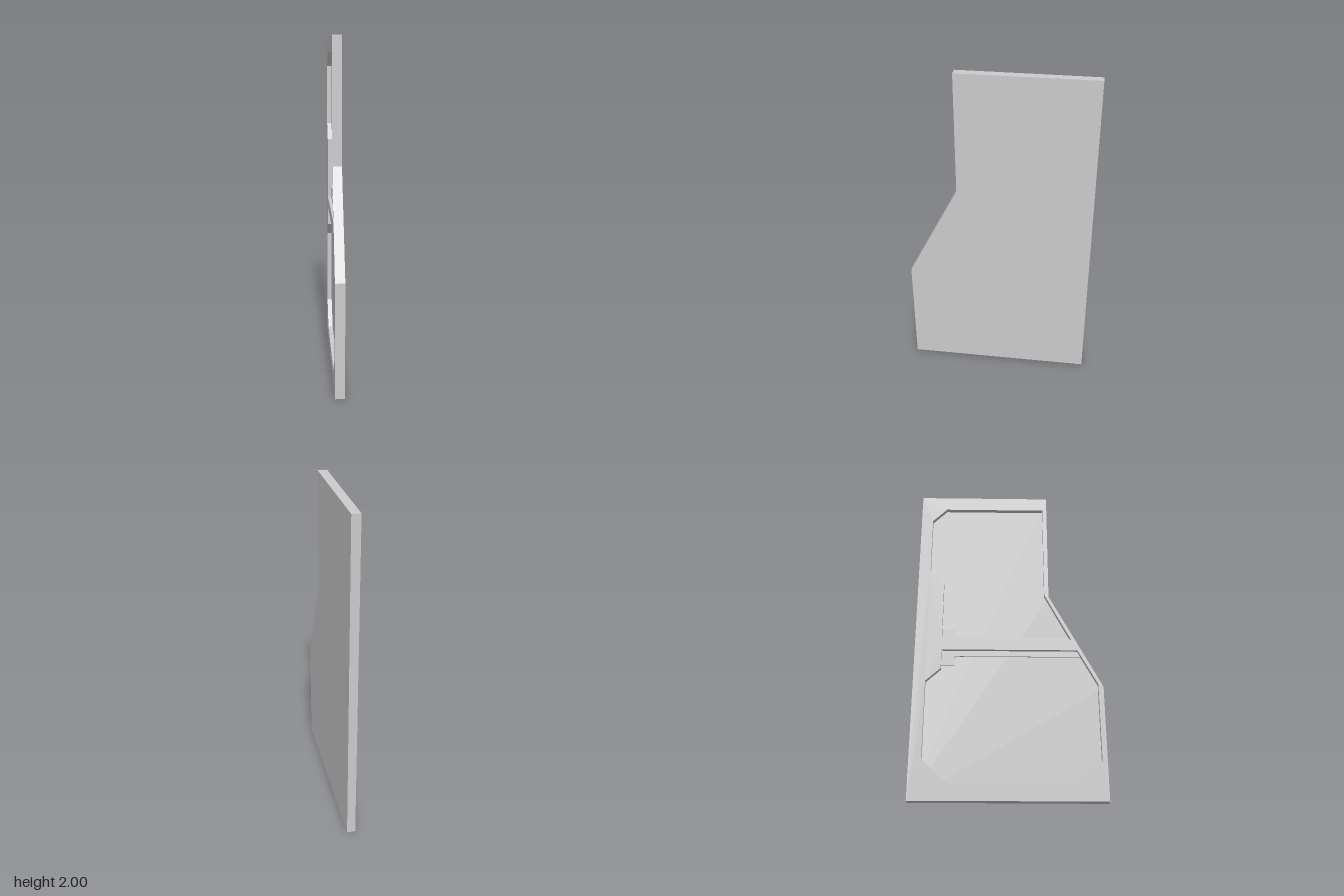
import * as THREE from 'three';

const HALF = 0.0285; // half of the greatest panel thickness

// All outlines are [z, y] pairs
const OUTLINE = [[-0.56, 0], [0.56, 0], [0.56, 0.675], [0.25, 1.27], [0.25, 2], [-0.56, 2]];

const UPPER_RECESS = [
  [-0.40, 0.975], [0.38, 0.975], [0.224, 1.28], [0.224, 1.91], [-0.40, 1.91],
  [-0.488, 1.82], [-0.488, 1.45], [-0.40, 1.355],
];

const LOWER_RECESS = [
  [-0.335, 0.09], [0.37, 0.09], [0.53, 0.225], [0.53, 0.69], [0.415, 0.907],
  [-0.40, 0.907], [-0.40, 0.786], [-0.488, 0.705], [-0.488, 0.235],
];

// L-shaped raised steps beside the middle rail
const UPPER_STEP = [
  [-0.40, 0.975], [0.38, 0.975], [0.369, 0.996], [-0.32, 0.996], [-0.32, 1.05], [-0.40, 1.05],
];
const LOWER_STEP = [
  [-0.40, 0.907], [-0.40, 0.815], [-0.32, 0.815], [-0.32, 0.872], [0.433, 0.872], [0.415, 0.907],
];

const toPoints = (list) => list.map(([z, y]) => new THREE.Vector2(z, y));

// Extrudes a side outline from x = start towards -x
function slab(outline, depth, start = 0, holes = []) {
  const shape = new THREE.Shape(toPoints(outline));
  for (const hole of holes) shape.holes.push(new THREE.Path(toPoints(hole)));
  const geometry = new THREE.ExtrudeGeometry(shape, { depth, bevelEnabled: false });
  return geometry.rotateY(-Math.PI / 2).translate(start, 0, 0);
}

export function createModel() {
  const group = new THREE.Group();
  group.name = 'doorPanel';
  const material = new THREE.MeshStandardMaterial({ color: 0xcccccc, flatShading: true });
  const add = (name, geometry) => {
    const mesh = new THREE.Mesh(geometry, material);
    mesh.name = name;
    group.add(mesh);
  };

  // Outer skin, slightly thinner towards the back edge
  const skin = slab(OUTLINE, HALF, HALF);
  const pos = skin.attributes.position;
  for (let i = 0; i < pos.count; i++) {
    if (pos.getX(i) > 0.01) pos.setX(i, 0.0225 + (0.006 * (pos.getZ(i) + 0.56)) / 1.12);
  }
  skin.computeVertexNormals();
  add('outerSkin', skin);

  // Inner frame with the two recesses and the rail between them
  add('innerFrame', slab(OUTLINE, HALF, 0, [UPPER_RECESS, LOWER_RECESS]));

  // Shallow steps on the recess floors
  add('upperStep', slab(UPPER_STEP, 0.008));
  add('lowerStep', slab(LOWER_STEP, 0.008));

  return group;
}
